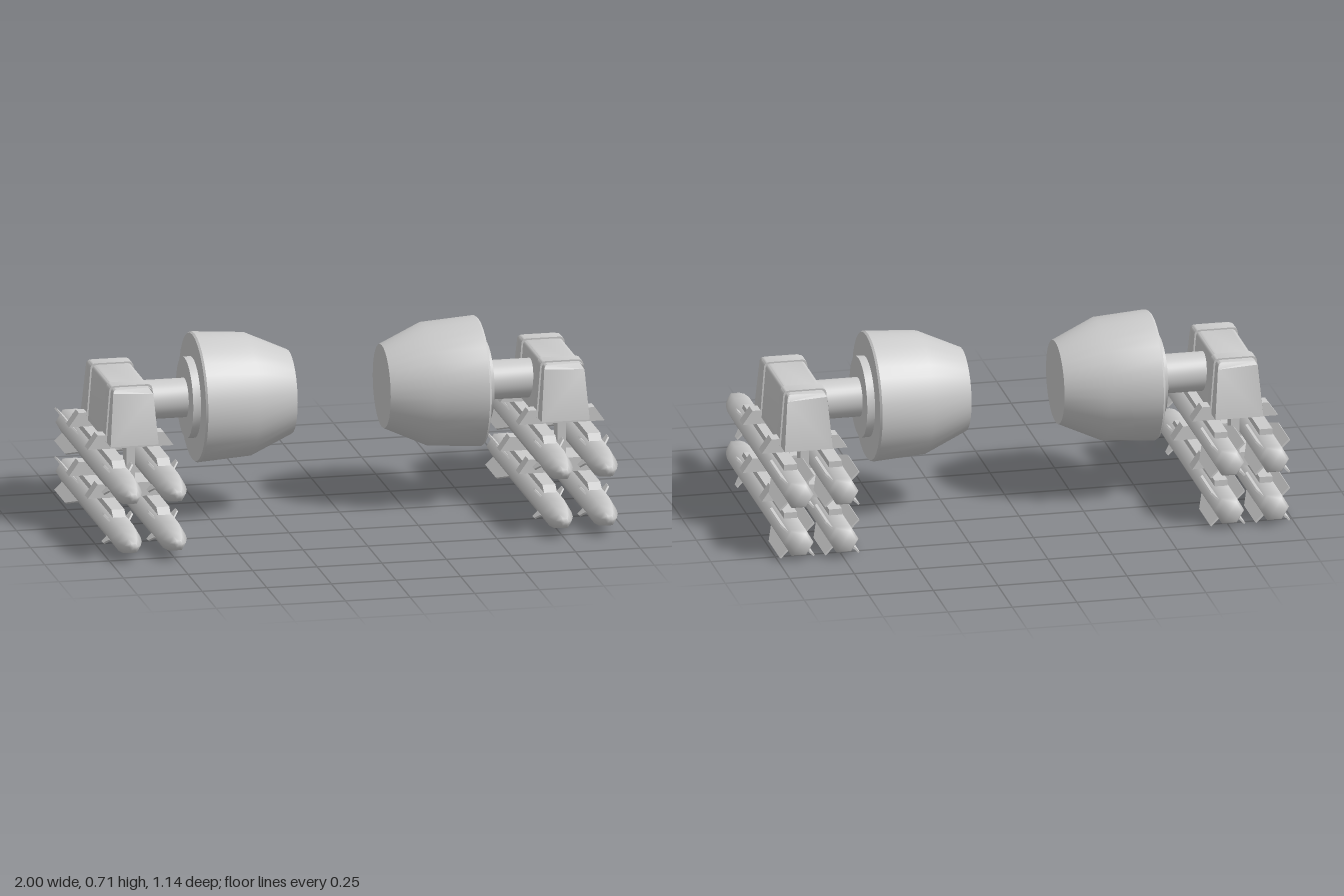
import * as THREE from 'three';
import { toCreasedNormals } from 'three/addons/utils/BufferGeometryUtils.js';

const grey = new THREE.MeshStandardMaterial({ color: 0xcccccc });
const V = (x, y) => new THREE.Vector2(x, y);
const MID_Z = -0.075;        // centre of drum and pod along z
const POD_X = 0.834;         // distance of each pod from the middle
const STRAP_Z = [0.092, -0.24];

function add(parent, name, geometry, x = 0, y = 0, z = 0) {
  const mesh = new THREE.Mesh(geometry, grey);
  mesh.name = name;
  mesh.position.set(x, y, z);
  parent.add(mesh);
  return mesh;
}

// Extrude an outline symmetrically about z = 0
function slab(shape, depth) {
  return new THREE.ExtrudeGeometry(shape, { depth, bevelEnabled: false, curveSegments: 5 })
    .translate(0, 0, -depth / 2);
}

// Plate lying in the plane of z (along) and y (radial)
function plate(points, thickness) {
  const outline = new THREE.Shape(points.map(([z, r]) => V(z, r)));
  return slab(outline, thickness).rotateY(-Math.PI / 2);
}

// Pod cross-section: a tapering block with rounded top corners
function podOutline(grow) {
  const b = 0.093 + grow, t = 0.078 + grow, top = 0.574 + grow, r = 0.022;
  const s = new THREE.Shape();
  s.moveTo(-b, 0.36);
  s.lineTo(b, 0.36);
  s.lineTo(t, top - r);
  s.quadraticCurveTo(t - 0.001, top, t - r, top);
  s.lineTo(-t + r, top);
  s.quadraticCurveTo(-t + 0.001, top, -t, top - r);
  s.closePath();
  return s;
}

// Pod ends lean inward, more sharply around the rounded top
function podGeometry() {
  const g = slab(podOutline(0), 2);
  const p = g.attributes.position;
  for (let i = 0; i < p.count; i++) {
    const y = p.getY(i);
    const low = Math.min(1, (y - 0.36) / 0.192);
    const high = Math.max(0, (y - 0.552) / 0.022);
    p.setZ(i, p.getZ(i) * (0.265 - 0.025 * low - 0.02 * high * high));
  }
  return toCreasedNormals(g, 0.6);
}

// Turned drum with stepped collar and shaft, running outward along its axis
function drumGeometry() {
  const profile = [
    V(0, 0.18), V(0.16, 0.18), V(0.235, 0.345), V(0.249, 0.545), V(0.244, 0.553),
    V(0.155, 0.553), V(0.155, 0.583), V(0.075, 0.583), V(0.075, 0.78), V(0, 0.78),
  ];
  return toCreasedNormals(new THREE.LatheGeometry(profile, 32), 0.5);
}

// Six-sided missile body, nose toward +z
function missileBody() {
  const profile = [
    V(0, -0.572), V(0.046, -0.572), V(0.056, -0.557), V(0.057, -0.54), V(0.057, 0.43),
    V(0.048, 0.495), V(0.032, 0.55), V(0.016, 0.568), V(0, 0.572),
  ];
  const g = new THREE.LatheGeometry(profile, 6, Math.PI / 2).rotateX(Math.PI / 2);
  return toCreasedNormals(g, 1.1);
}

const finOutline = [[-0.24, 0.035], [-0.24, 0.05], [-0.335, 0.093], [-0.525, 0.093], [-0.525, 0.035]];
const canardOutline = [[0.32, 0.035], [0.32, 0.053], [0.295, 0.079], [0.265, 0.079], [0.265, 0.035]];
const railOutline = [[0.32, 0.03], [0.32, 0.048], [0.29, 0.073], [-0.41, 0.073], [-0.41, 0.03]];

function makeMissile(x, y) {
  const missile = new THREE.Group();
  missile.name = 'missile';
  missile.position.set(x, y, 0);
  add(missile, 'missileBody', missileBody());
  add(missile, 'launchRail', plate(railOutline, 0.05));
  for (let k = 0; k < 4; k++) {
    const angle = Math.PI / 4 + k * Math.PI / 2;
    add(missile, 'tailFin', plate(finOutline, 0.007)).rotation.z = angle;
    add(missile, 'frontFin', plate(canardOutline, 0.007)).rotation.z = angle;
  }
  return missile;
}

function makeSide(s) {
  const side = new THREE.Group();
  side.name = s > 0 ? 'leftLauncher' : 'rightLauncher';

  const drum = add(side, 'drumAndShaft', drumGeometry(), 0, 0.465, MID_Z);
  drum.rotation.z = -s * Math.PI / 2;

  const rack = new THREE.Group();
  rack.name = 'weaponRack';
  rack.position.x = s * POD_X;
  side.add(rack);
  add(rack, 'pod', podGeometry(), 0, 0, MID_Z);

  // Straps, cross-arms and hanging posts
  const arm = new THREE.Shape([V(-0.166, 0), V(0.166, 0), V(0.128, 0.054), V(-0.128, 0.054)]);
  for (const z of STRAP_Z) {
    add(rack, 'podStrap', toCreasedNormals(slab(podOutline(0.006), 0.057), 0.6), 0, 0, z);
    add(rack, 'upperArm', slab(arm, 0.056), 0, 0.335, z);
    add(rack, 'lowerArm', slab(arm, 0.056), 0, 0.143, z);
    add(rack, 'hangingPost', new THREE.BoxGeometry(0.034, 0.16, 0.056), 0, 0.265, z);
  }

  // Two rows of two missiles
  for (const y of [0.262, 0.07]) {
    for (const x of [-0.087, 0.087]) rack.add(makeMissile(x, y));
  }
  return side;
}

export function createModel() {
  const model = new THREE.Group();
  model.name = 'twinMissileLaunchers';
  model.add(makeSide(1), makeSide(-1));
  return model;
}
